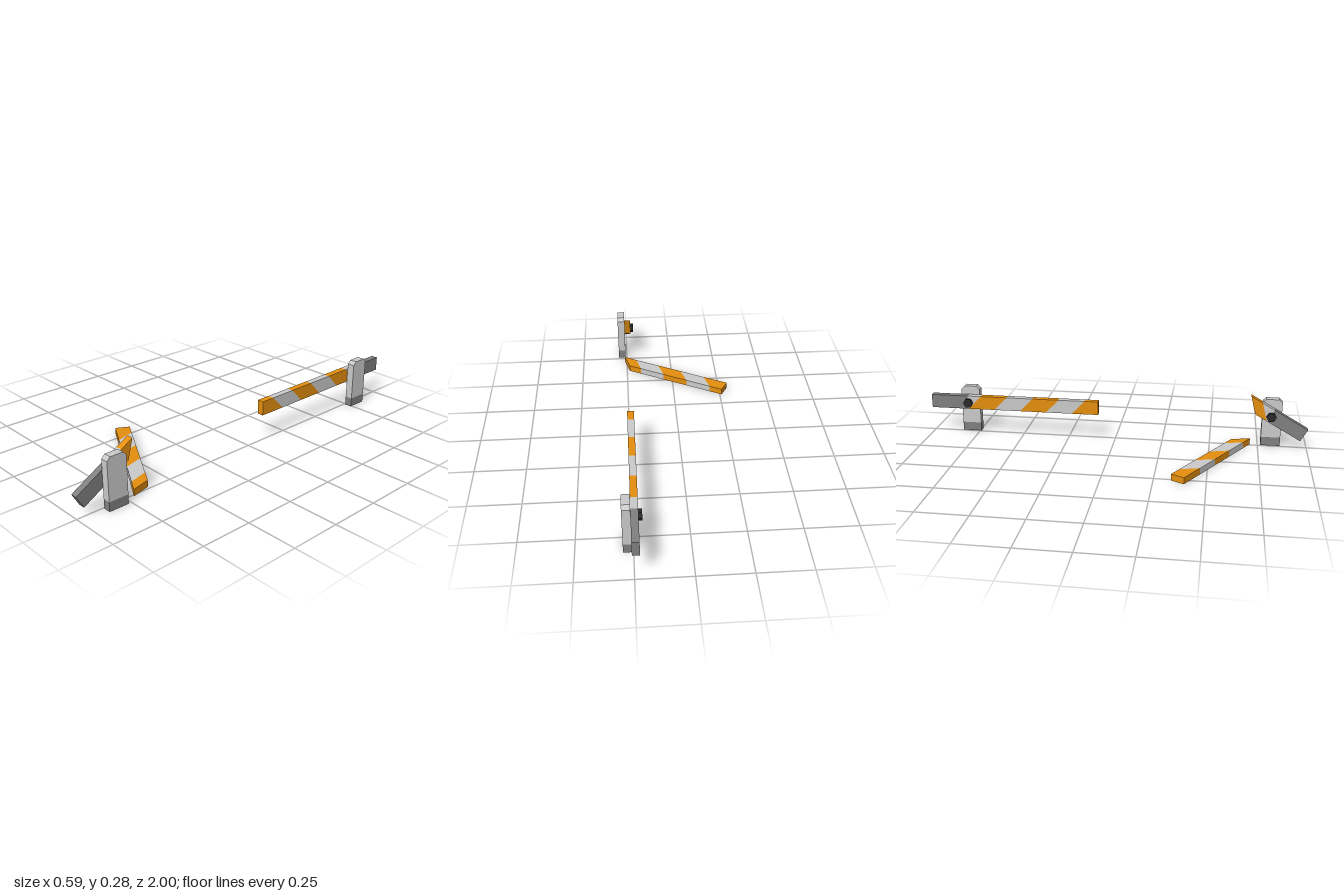
import * as THREE from 'three';

const mat = (color) => new THREE.MeshStandardMaterial({ color, flatShading: true, side: THREE.DoubleSide });
const LIGHT = mat(0xcccccc), DARK = mat(0x808080), ORANGE = mat(0xe6900f), BLACK = mat(0x2b2b2b);

const T = 0.0165;     // half thickness of the arm
const H = 0.036;      // half height of the arm
const SLANT = 0.07;   // stripe lean from top edge to bottom edge
const BREAK = 0.342;  // where the damaged arm snapped
const ARM_X = 0.2405;

function add(parent, name, geometry, material) {
  const mesh = new THREE.Mesh(geometry, material);
  mesh.name = name;
  parent.add(mesh);
  return mesh;
}

// One length of arm along z; a and b are [bottom z, top z] of its two ends.
function armSegment(a, b, { capA = false, capB = false, open = false } = {}) {
  const ring = ([bottom, top]) => [[-T, -H, bottom], [T, -H, bottom], [T, H, top], [-T, H, top]];
  const A = ring(a), B = ring(b), pos = [];
  const quad = (p, q, r, s) => pos.push(...p, ...q, ...r, ...p, ...r, ...s);
  for (let i = 0; i < 4; i++) {
    if (open && i === 3) continue; // hollow underside
    const j = (i + 1) % 4;
    quad(A[i], A[j], B[j], B[i]);
  }
  if (capA) quad(A[3], A[2], A[1], A[0]);
  if (capB) quad(B[0], B[1], B[2], B[3]);
  const g = new THREE.BufferGeometry();
  g.setAttribute('position', new THREE.Float32BufferAttribute(pos, 3));
  // wind outward
  g.computeVertexNormals();
  return g;
}

const slanted = (s) => [s - SLANT, s];
const straight = (s) => [s, s];

// Striped arm between two cuts; 0 is the counterweight end, 0.91 the tip.
function makeArm(name, from, to, open = false) {
  const arm = new THREE.Group();
  arm.name = name;
  if (from === 0) add(arm, 'counterweight', armSegment(straight(0), straight(0.2), { capA: true }), DARK);
  const stops = [0.2, 0.273, 0.415, 0.557, 0.698, 0.838, 0.91];
  for (let i = 0; i < 6; i++) {
    const s0 = Math.max(stops[i], from), s1 = Math.min(stops[i + 1], to);
    if (s0 >= s1) continue;
    const a = i === 0 ? straight(s0) : slanted(s0);
    const b = i === 5 ? straight(s1) : slanted(s1);
    const caps = { capA: s0 === from, capB: s1 === to, open };
    add(arm, i % 2 ? 'orangeStripe' : 'lightStripe', armSegment(a, b, caps), i % 2 ? ORANGE : LIGHT);
  }
  return arm;
}

// Post with a bevelled top, a dark foot and the pivot bolt
function makePost(name, z, pivotZ) {
  const post = new THREE.Group();
  post.name = name;
  const w = 0.05, d = 0.038;
  const shape = new THREE.Shape([[-w, 0.046], [w, 0.046], [w, 0.236], [w - 0.017, 0.253], [-w + 0.017, 0.253], [-w, 0.236]]
    .map(([x, y]) => new THREE.Vector2(x, y)));
  const column = add(post, 'column', new THREE.ExtrudeGeometry(shape, { depth: d, bevelEnabled: false }), LIGHT);
  column.rotation.y = Math.PI / 2;
  column.position.set(0.257, 0, z);
  add(post, 'foot', new THREE.BoxGeometry(d, 0.046, 2 * w), DARK).position.set(0.257 + d / 2, 0.023, z);
  const bolt = add(post, 'pivotBolt', new THREE.CylinderGeometry(0.0254, 0.0254, 0.02, 6), BLACK);
  bolt.rotation.z = Math.PI / 2;
  bolt.position.set(0.218, 0.17, pivotZ);
  return post;
}

export function createModel() {
  const model = new THREE.Group();
  model.name = 'roadBarriers';

  model.add(makePost('rearPost', -0.793, -0.797), makePost('frontPost', 0.815, 0.81));

  // Intact, lowered barrier
  const intact = makeArm('intactArm', 0, 0.91);
  intact.position.set(ARM_X, 0.171, -1);

  // Stump of the broken barrier, tilted up on its pivot
  const stump = makeArm('brokenArmStump', 0, BREAK);
  stump.rotation.set(-0.52, Math.PI, 0, 'YXZ');
  stump.position.set(ARM_X, 0.076, 0.982);

  // Snapped-off piece lying on its side on the ground
  const fallen = makeArm('fallenArmPiece', BREAK, 0.91, true);
  const c = Math.cos(0.515), s = Math.sin(0.515);
  fallen.quaternion.setFromRotationMatrix(new THREE.Matrix4().makeBasis(
    new THREE.Vector3(0, 1, 0), new THREE.Vector3(s, 0, -c), new THREE.Vector3(-c, 0, -s)));
  fallen.position.set(0.515, T, 0.813);

  model.add(intact, stump, fallen);
  return model;
}
